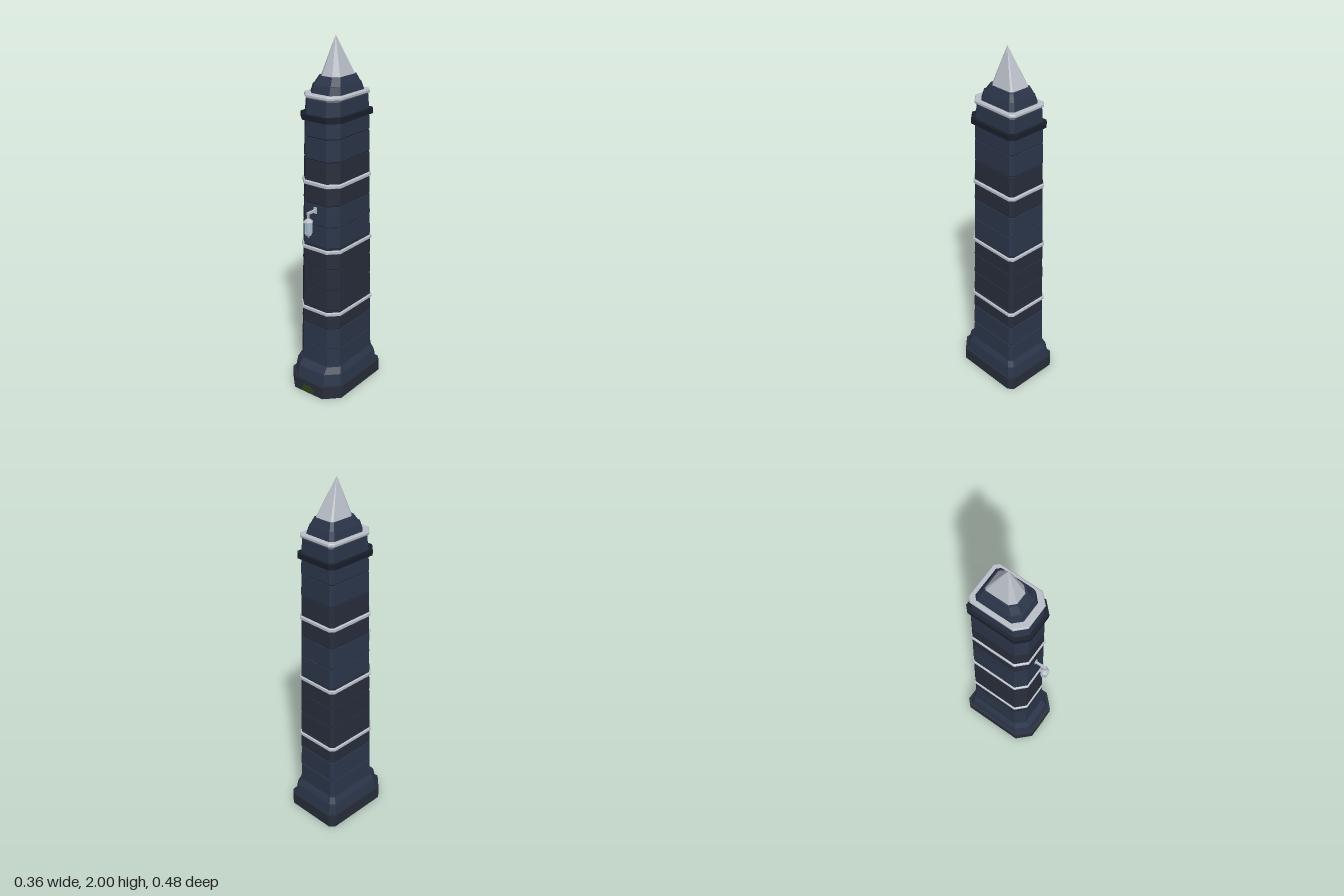
import * as THREE from 'three';

const mat = (color) => new THREE.MeshStandardMaterial({ color, flatShading: true });

// Octagonal outline: half width, front z, back z, front and back corner cuts
function outline([y, w, zf, zb, cf, cb]) {
  return [
    [-w + cf, y, zf], [w - cf, y, zf], [w, y, zf - cf], [w, y, zb + cb],
    [w - cb, y, zb], [-w + cb, y, zb], [-w, y, zb + cb], [-w, y, zf - cf],
  ];
}

// Closed solid through a stack of outlines, listed bottom to top
function loft(sections) {
  const rings = sections.map(outline);
  const n = 8, index = [];
  for (let i = 0; i < rings.length - 1; i++) {
    for (let j = 0; j < n; j++) {
      const a = i * n + j, b = i * n + (j + 1) % n;
      index.push(a, b, b + n, a, b + n, a + n);
    }
  }
  const top = (rings.length - 1) * n;
  for (let j = 1; j < n - 1; j++) {
    index.push(0, j + 1, j, top, top + j, top + j + 1);
  }
  const indexed = new THREE.BufferGeometry();
  indexed.setAttribute('position', new THREE.Float32BufferAttribute(rings.flat(2), 3));
  indexed.setIndex(index);
  const geo = indexed.toNonIndexed();
  geo.computeVertexNormals();
  return geo;
}

// Section of the tapering shaft at height y, grown outward by g
function shaft(y, g = 0) {
  const t = (y - 0.175) / 1.415, mix = THREE.MathUtils.lerp;
  return [y, mix(0.138, 0.117, t) + g, mix(0.17, 0.146, t) + g, mix(-0.196, -0.174, t) - g, 0.052 + g * 0.5, 0.018 + g * 0.5];
}

export function createModel() {
  const tower = new THREE.Group();
  tower.name = 'tower';
  const blue = mat(0x2b364a), slate = mat(0x272d3b), dark = mat(0x191f2b);
  const silver = mat(0xb9bec8), glass = mat(0x9fc4dc), green = mat(0x2c4418);

  const add = (name, geo, material, parent = tower, x = 0, y = 0, z = 0) => {
    const mesh = new THREE.Mesh(geo, material);
    mesh.name = name;
    mesh.position.set(x, y, z);
    parent.add(mesh);
    return mesh;
  };

  // Stepped foot
  add('baseSlab', loft([
    [0, 0.178, 0.234, -0.24, 0.077, 0.028],
    [0.075, 0.178, 0.234, -0.24, 0.077, 0.028],
  ]), slate);
  add('plinth', loft([
    [0.075, 0.165, 0.216, -0.226, 0.07, 0.026],
    [0.14, 0.157, 0.203, -0.216, 0.066, 0.024],
    [0.175, 0.142, 0.175, -0.2, 0.055, 0.02],
  ]), blue);

  // Recessed core showing as dark grooves between the stone courses
  add('core', loft([shaft(0.16, -0.006), shaft(1.6, -0.006)]), dark);
  const joints = [0.172, 0.29, 0.415, 0.53, 0.655, 0.78, 0.9, 1.02, 1.14, 1.26, 1.38, 1.5, 1.592];
  for (let i = 0; i < joints.length - 1; i++) {
    const y0 = joints[i] + 0.004, y1 = joints[i + 1] - 0.004;
    const material = [0, 1, 6, 7, 10, 11].includes(i) ? blue : slate;
    add('stoneCourse', loft([shaft(y0, 0.001), shaft(y1)]), material);
  }

  // Silver bands around the shaft
  for (const y of [0.508, 0.88, 1.25]) {
    add('silverBand', loft([
      shaft(y - 0.011, 0.002), shaft(y - 0.007, 0.008),
      shaft(y + 0.007, 0.008), shaft(y + 0.011, 0.002),
    ]), silver);
  }

  // Ledge, crown block and top band
  add('ledge', loft([
    [1.588, 0.133, 0.163, -0.189, 0.056, 0.022],
    [1.616, 0.133, 0.163, -0.189, 0.056, 0.022],
  ]), dark);
  add('crownBlock', loft([
    [1.616, 0.116, 0.145, -0.173, 0.052, 0.018],
    [1.69, 0.112, 0.137, -0.171, 0.05, 0.018],
    [1.702, 0.108, 0.132, -0.166, 0.048, 0.018],
  ]), blue);
  add('topBand', loft([
    [1.698, 0.117, 0.139, -0.173, 0.05, 0.02],
    [1.703, 0.121, 0.143, -0.178, 0.052, 0.022],
    [1.713, 0.121, 0.143, -0.178, 0.052, 0.022],
    [1.718, 0.117, 0.138, -0.174, 0.05, 0.02],
  ]), silver);

  // Stepped cap and spire
  add('capLower', loft([
    [1.716, 0.099, 0.108, -0.154, 0.041, 0.02],
    [1.76, 0.088, 0.094, -0.141, 0.036, 0.018],
  ]), blue);
  add('capUpper', loft([
    [1.76, 0.085, 0.088, -0.138, 0.035, 0.016],
    [1.8, 0.068, 0.06, -0.12, 0.03, 0.013],
  ]), blue);
  add('spire', loft([
    [1.798, 0.062, 0.053, -0.114, 0.029, 0.01],
    [2, 0.0005, -0.0175, -0.0185, 0.0002, 0.0002],
  ]), silver);

  // Hanging lantern on the front
  const lantern = new THREE.Group();
  lantern.name = 'lantern';
  lantern.position.z = 0.215;
  tower.add(lantern);
  // Six-sided part with corners toward left and right
  const hex = (name, rTop, rBottom, y0, y1, material) => {
    const geo = new THREE.CylinderGeometry(rTop, rBottom, y1 - y0, 6).rotateY(Math.PI / 6);
    add(name, geo.rotateY(Math.PI / 3), material, lantern, 0, (y0 + y1) / 2, 0);
  };
  add('bracketArm', new THREE.BoxGeometry(0.012, 0.012, 0.07), silver, lantern, 0, 1.106, -0.029);
  add('wallPlate', new THREE.BoxGeometry(0.02, 0.035, 0.008), silver, lantern, 0, 1.106, -0.06);
  add('hanger', new THREE.BoxGeometry(0.008, 0.04, 0.008), silver, lantern, 0, 1.09, 0);
  hex('lanternRoof', 0.009, 0.027, 1.062, 1.078, silver);
  hex('lanternEave', 0.027, 0.027, 1.056, 1.062, silver);
  hex('lanternGlass', 0.018, 0.015, 0.995, 1.056, glass);
  hex('lanternFloor', 0.022, 0.018, 0.984, 0.995, silver);
  hex('lanternTip', 0.012, 0.002, 0.966, 0.984, silver);
  for (let i = 0; i < 6; i++) {
    const a = i * Math.PI / 3;
    add('lanternPost', new THREE.BoxGeometry(0.004, 0.062, 0.004), silver, lantern,
      Math.cos(a) * 0.019, 1.025, Math.sin(a) * 0.019);
  }

  // Ragged patch of moss at the foot
  const patch = new THREE.Shape([
    [-0.055, 0.004], [0.036, 0.004], [0.04, 0.02], [0.025, 0.03], [0.02, 0.045],
    [0, 0.052], [-0.015, 0.044], [-0.032, 0.046], [-0.042, 0.026],
  ].map(([x, y]) => new THREE.Vector2(x, y)));
  add('moss', new THREE.ExtrudeGeometry(patch, { depth: 0.003, bevelEnabled: false }), green, tower, 0, 0, 0.233);

  return tower;
}
